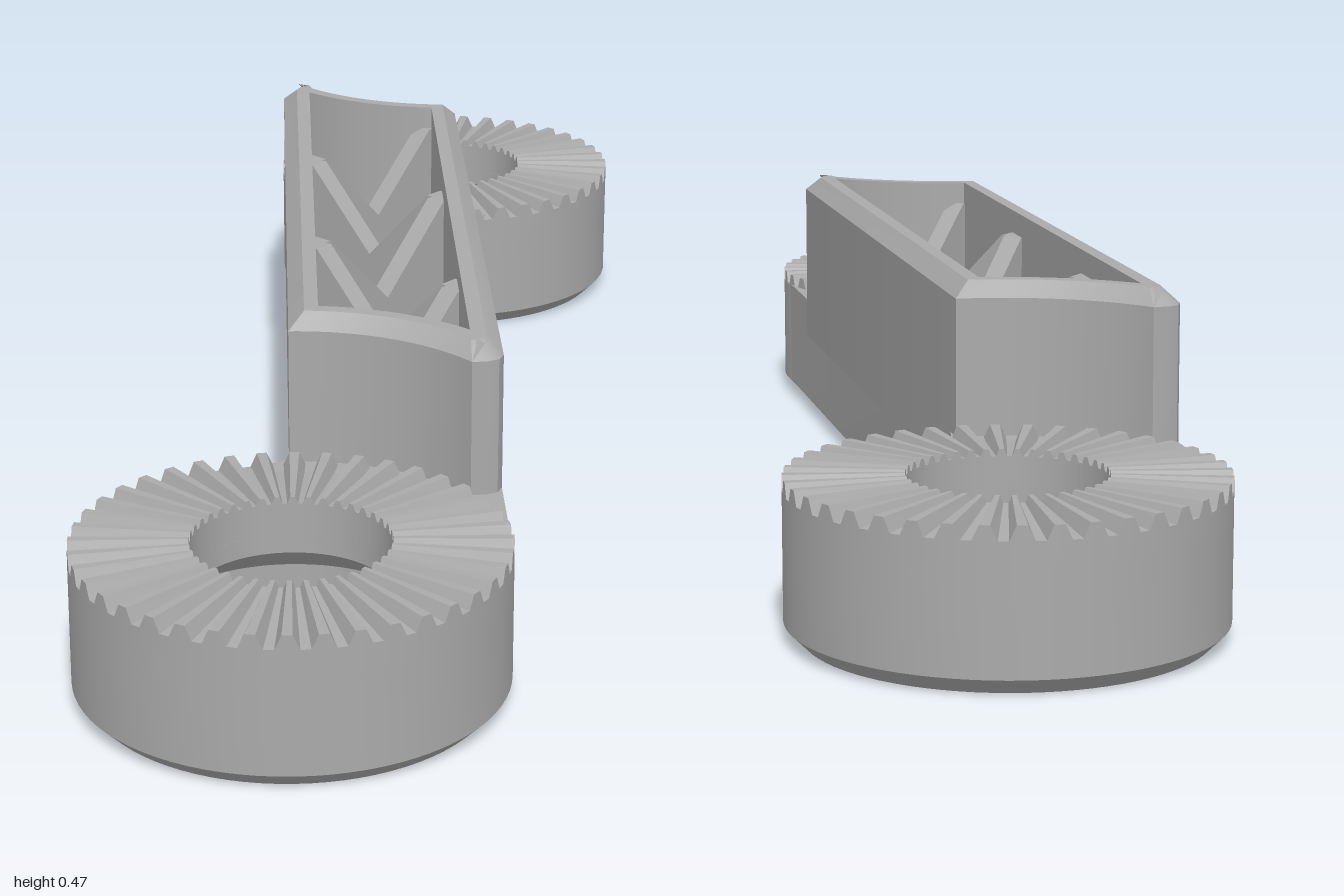
import * as THREE from 'three';
import { toCreasedNormals } from 'three/addons/utils/BufferGeometryUtils.js';

const CU = 0.934, CZ = 0.163;   // ring centre in the arm's own frame (u along, z across)
const R = 0.328, BORE = 0.15;   // ring radii
const W = 0.163, INNER = 0.115; // half widths of the arm, outside and inside

// Skin a closed stack of loops (each clockwise seen from above).
function loft(layers) {
  const n = layers[0].length, m = layers.length, index = [];
  const pos = layers.flat().flatMap(p => [p.x, p.y, p.z]);
  for (let j = 0; j < m; j++) {
    for (let i = 0; i < n; i++) {
      const k = (i + 1) % n, l = (j + 1) % m;
      const a = j * n + i, b = j * n + k, c = l * n + i, d = l * n + k;
      index.push(b, a, c, b, c, d);
    }
  }
  const g = new THREE.BufferGeometry();
  g.setAttribute('position', new THREE.Float32BufferAttribute(pos, 3));
  g.setIndex(index);
  return toCreasedNormals(g, 0.5);
}

// Points on an arc about the ring centre, angles in degrees, as [u, v].
function arc(r, from, to, n) {
  return Array.from({ length: n }, (_, i) => {
    const t = THREE.MathUtils.degToRad(from + (to - from) * i / (n - 1));
    return [CU + r * Math.cos(t), -CZ + r * Math.sin(t)];
  });
}

// Complete a half outline by turning it half round, at height y.
function loop(half, y) {
  const all = [...half, ...half.map(([u, v]) => [-u, -v])];
  return all.map(([u, v]) => new THREE.Vector3(u, y, -v));
}

// Half outline of the lower arm, with a small fillet where it meets the ring.
function baseHalf(e) {
  const pts = [[CU, W - e], ...arc(0.28, 90, 195, 18)];
  pts.push([CU - R + 0.008, -W - 0.055 + e], [CU - R - 0.002, -W - 0.022 + e],
    [CU - R - 0.016, -W - 0.006 + e], [CU - R - 0.05, -W + e]);
  return pts;
}

// Half outline of the raised arm, scooped out around the ring.
function upperHalf(e) {
  const r = 0.337 + e, end = 180 - THREE.MathUtils.radToDeg(e / r);
  return [[0.712 - e, W - e], [0.73 - e, W - 0.008 - e], [0.738 - e, W - 0.025 - e],
    ...arc(r, 125, end, 20)];
}

const holeHalf = () => arc(0.385, 134, 173, 23);

// Ring body, bored through with a wider pocket underneath.
function ringBody() {
  const profile = [[BORE, 0.18], [BORE, 0.15], [0.217, 0.1], [0.217, 0], [R - 0.025, 0],
    [R, 0.025], [R, 0.18]].map(p => new THREE.Vector2(...p));
  return toCreasedNormals(new THREE.LatheGeometry(profile, 80), 0.5);
}

// Radial locking teeth, deeper towards the rim.
function ringTeeth() {
  const count = 40, steps = [0, 0.3, 0.5, 0.8], high = [1, 1, 0, 0];
  const circle = (r, depth, flat) => {
    const pts = [];
    for (let i = 0; i < count; i++) {
      steps.forEach((s, k) => {
        const t = (i + s) / count * Math.PI * 2;
        const y = flat ? 0.18 : 0.242 - (high[k] ? 0 : depth);
        pts.push(new THREE.Vector3(r * Math.cos(t), y, r * Math.sin(t)));
      });
    }
    return pts;
  };
  return loft([circle(R, 0, true), circle(R, 0.022), circle(BORE, 0.011), circle(BORE, 0, true)]);
}

// Cross-brace: notched to a V above and below.
function brace(len) {
  const h = len / 2, s = new THREE.Shape();
  [[-h, 0.035], [-h + 0.03, 0.035], [0, 0.17], [h - 0.03, 0.035], [h, 0.035],
    [h, 0.425], [h - 0.03, 0.425], [0, 0.285], [-h + 0.03, 0.425], [-h, 0.425]]
    .forEach(([x, y], i) => (i ? s.lineTo(x, y) : s.moveTo(x, y)));
  const g = new THREE.ExtrudeGeometry(s, { depth: 0.036, bevelEnabled: false });
  return g.translate(0, 0, -0.018);
}

export function createModel() {
  const grey = new THREE.MeshStandardMaterial({ color: 0xaaaaaa });
  grey.name = 'grey';
  const model = new THREE.Group();
  model.name = 'toothedArm';
  const add = (name, geometry) => {
    const mesh = new THREE.Mesh(geometry, grey);
    mesh.name = name;
    model.add(mesh);
    return mesh;
  };

  // Lower arm, chamfered along the bottom
  const c = 0.025, hole = holeHalf();
  add('lowerArm', loft([loop(hole, 0), loop(baseHalf(c), 0), loop(baseHalf(0), c),
    loop(baseHalf(0), 0.222), loop(hole, 0.222)]));

  // Raised arm, chamfered along the top
  add('raisedArm', loft([loop(hole, 0.15), loop(upperHalf(0), 0.15), loop(upperHalf(0), 0.465 - c),
    loop(upperHalf(c), 0.465), loop(hole, 0.465)]));

  // Toothed rings at both ends
  const body = ringBody(), teeth = ringTeeth();
  for (const side of [1, -1]) {
    for (const [name, g] of [['ring', body], ['ringTeeth', teeth]]) {
      add(name, g).position.set(side * CU, 0, side * CZ);
    }
  }

  // Zigzag bracing between the walls
  const nodes = [0.575, 0.35, 0.125, -0.125, -0.35, -0.575];
  for (let i = 0; i < nodes.length - 1; i++) {
    const v = i % 2 ? 0.122 : -0.122;
    const du = nodes[i + 1] - nodes[i], dz = 2 * v;
    const b = add('brace', brace(Math.hypot(du, dz)));
    b.position.set((nodes[i] + nodes[i + 1]) / 2, 0, 0);
    b.rotation.y = Math.atan2(-dz, du);
  }

  model.rotation.y = 0.957;
  const root = new THREE.Group();
  root.add(model);
  return root;
}
